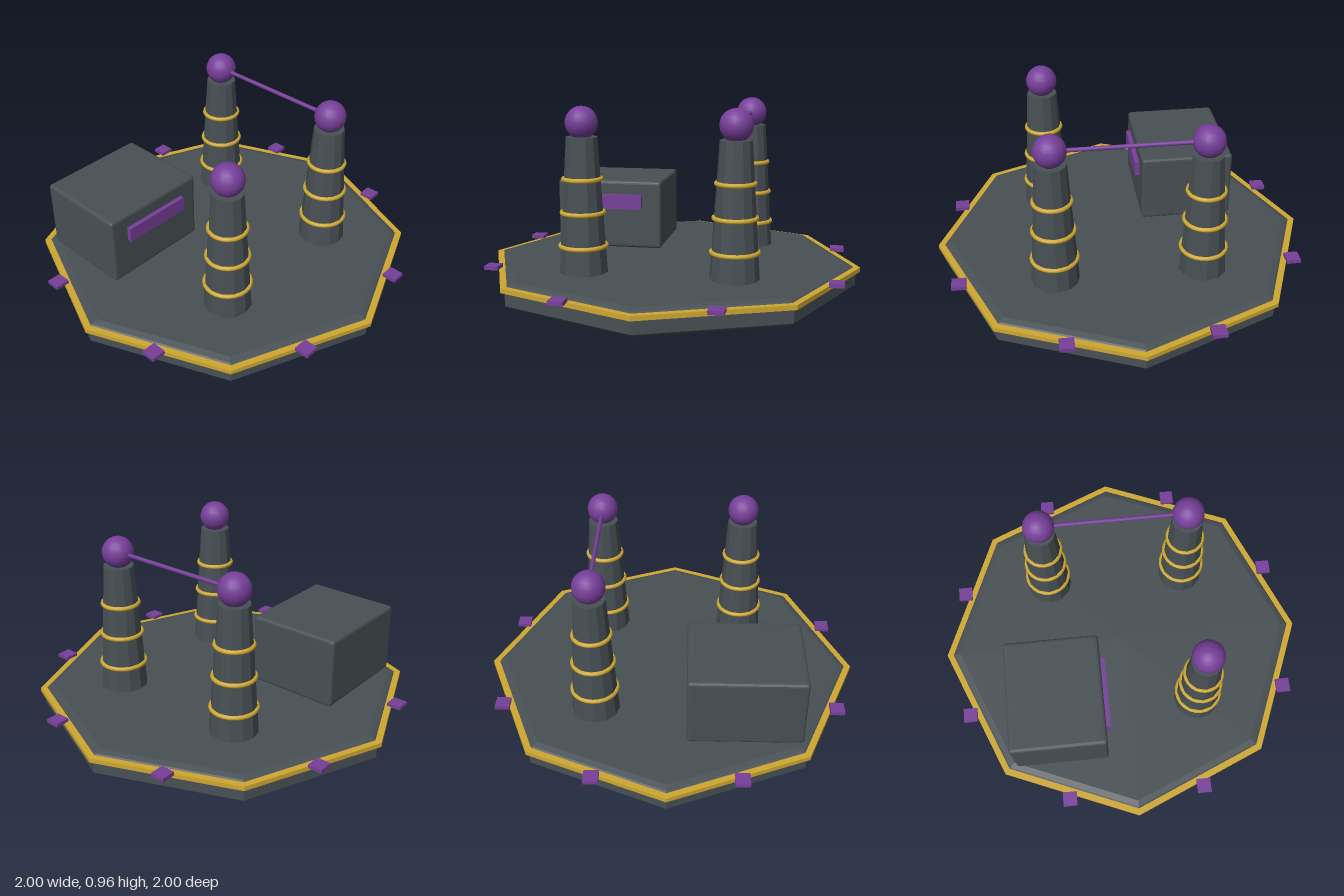
import * as THREE from 'three';
import { RoundedBoxGeometry } from 'three/addons/geometries/RoundedBoxGeometry.js';

export function createModel() {
  const model = new THREE.Group();
  const material = (name, color, flatShading = false) => {
    const m = new THREE.MeshStandardMaterial({ color, flatShading });
    m.name = name;
    return m;
  };
  const slate = material('slate', 0x485054, true);
  const gold = material('gold', 0xcfa832);
  const purple = material('purple', 0x773f9a);

  const add = (parent, name, geometry, mat, x = 0, y = 0, z = 0) => {
    const mesh = new THREE.Mesh(geometry, mat);
    mesh.name = name;
    mesh.position.set(x, y, z);
    parent.add(mesh);
    return mesh;
  };
  // Eight-sided solid from a radius/height profile, with sharp faces
  const octagon = (points) => {
    const g = new THREE.LatheGeometry(points.map(([r, y]) => new THREE.Vector2(r, y)), 8).toNonIndexed();
    g.computeVertexNormals();
    return g;
  };

  // Platform with bevelled edges, and its rim
  add(model, 'platform', octagon([
    [0, 0], [0.955, 0], [0.977, 0.015], [0.977, 0.1], [0.957, 0.115], [0.925, 0.125], [0, 0.125],
  ]), slate);
  add(model, 'rim', octagon([
    [0.95, 0.085], [1, 0.085], [1, 0.109], [0.95, 0.109],
  ]), gold);

  // Small square lights at the middle of each platform side
  for (let i = 0; i < 8; i++) {
    const a = (i + 0.5) * Math.PI / 4;
    add(model, 'edgeLight', new THREE.BoxGeometry(0.075, 0.02, 0.075), purple,
      0.952 * Math.cos(a), 0.117, 0.952 * Math.sin(a));
  }

  // Tapered pylons with three bands and a ball on top
  const baseY = 0.12, topY = 0.81, baseR = 0.125, topR = 0.08;
  for (const [x, z] of [[-0.384, 0.384], [0.384, 0.384], [0.384, -0.384]]) {
    const pylon = new THREE.Group();
    pylon.name = 'pylon';
    pylon.position.set(x, 0, z);
    model.add(pylon);
    add(pylon, 'column', new THREE.CylinderGeometry(topR, baseR, topY - baseY, 12), slate, 0, (baseY + topY) / 2);
    for (const y of [0.26, 0.43, 0.6]) {
      const r = baseR + (topR - baseR) * (y - baseY) / (topY - baseY);
      add(pylon, 'band', new THREE.TorusGeometry(r, 0.012, 8, 24), gold, 0, y).rotation.x = Math.PI / 2;
    }
    add(pylon, 'ball', new THREE.SphereGeometry(0.083, 16, 12), purple, 0, 0.88);
  }

  // Rod joining the two left pylons
  add(model, 'rod', new THREE.CylinderGeometry(0.011, 0.011, 0.768, 8), purple, 0.384, 0.88, 0).rotation.x = Math.PI / 2;

  // Cabinet with a front panel
  add(model, 'cabinet', new RoundedBoxGeometry(0.59, 0.38, 0.505, 2, 0.018), slate, -0.385, 0.315, -0.387);
  add(model, 'cabinetPanel', new THREE.BoxGeometry(0.38, 0.08, 0.04), purple, -0.388, 0.389, -0.13);

  return model;
}
